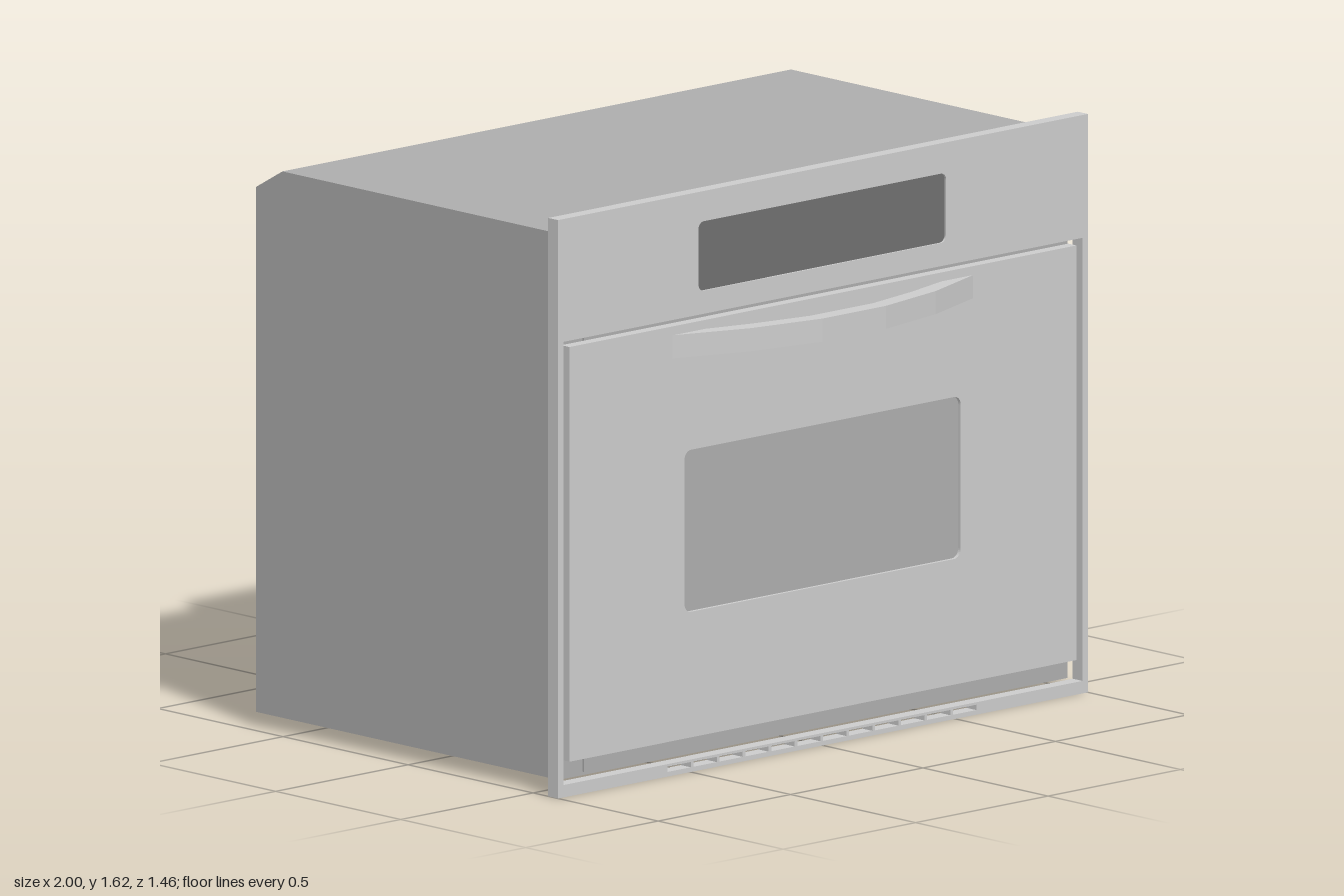
import * as THREE from 'three';

const mat = (color) => new THREE.MeshStandardMaterial({ color });

// Rounded or plain rectangle, added to a Shape or Path
function rect(p, x0, y0, x1, y1, r = 0) {
  if (!r) {
    p.moveTo(x0, y0).lineTo(x1, y0).lineTo(x1, y1).lineTo(x0, y1).closePath();
    return p;
  }
  p.moveTo(x0 + r, y0).lineTo(x1 - r, y0);
  p.absarc(x1 - r, y0 + r, r, -Math.PI / 2, 0);
  p.lineTo(x1, y1 - r);
  p.absarc(x1 - r, y1 - r, r, 0, Math.PI / 2);
  p.lineTo(x0 + r, y1);
  p.absarc(x0 + r, y1 - r, r, Math.PI / 2, Math.PI);
  p.lineTo(x0, y0 + r);
  p.absarc(x0 + r, y0 + r, r, Math.PI, Math.PI * 1.5);
  return p;
}

function extrude(shape, depth) {
  return new THREE.ExtrudeGeometry(shape, { depth, bevelEnabled: false, curveSegments: 4 });
}

export function createModel() {
  const group = new THREE.Group();
  const steel = mat(0xcccccc), casing = mat(0xadadad), dark = mat(0x6f6f6f);

  const add = (name, geometry, material) => {
    const mesh = new THREE.Mesh(geometry, material);
    mesh.name = name;
    group.add(mesh);
    return mesh;
  };
  const box = (name, x0, x1, y0, y1, z0, z1, material) => {
    const mesh = add(name, new THREE.BoxGeometry(x1 - x0, y1 - y0, z1 - z0), material);
    mesh.position.set((x0 + x1) / 2, (y0 + y1) / 2, (z0 + z1) / 2);
  };
  const back = 0.56, front = 0.6;

  // Casing: side profile with a chamfered top rear edge, extruded across x
  const profile = new THREE.Shape([
    [-back, 0.04], [0.65, 0.04], [0.65, 1.515], [0.545, 1.575], [-back, 1.575],
  ].map(([x, y]) => new THREE.Vector2(x, y)));
  const casingGeometry = extrude(profile, 1.92);
  casingGeometry.translate(0, 0, -0.96).rotateY(Math.PI / 2);
  add('casing', casingGeometry, casing);
  box('rearDuct', -0.37, 0.37, 0.04, 1.515, -0.73, -0.65, casing);
  box('doorSeal', -0.87, 0.87, 0.05, 1.272, back - 0.01, back + 0.006, casing);

  // Front frame with door opening, display cut-out and a row of vent slots
  const frame = rect(new THREE.Shape(), -1, 0, 1, 1.625);
  frame.holes.push(rect(new THREE.Path(), -0.98, 0.035, 0.98, 1.28));
  frame.holes.push(rect(new THREE.Path(), -0.47, 1.345, 0.465, 1.54, 0.02));
  for (let i = 0; i < 12; i++) {
    const x = -0.587 + i * 0.098;
    frame.holes.push(rect(new THREE.Path(), x, 0.013, x + 0.088, 0.028));
  }
  add('frontFrame', extrude(frame, front - back), steel).position.z = back;
  box('display', -0.48, 0.475, 1.335, 1.55, back + 0.002, front - 0.006, dark);

  // Door with a recessed window
  const door = rect(new THREE.Shape(), -0.957, 0.097, 0.957, 1.262);
  door.holes.push(rect(new THREE.Path(), -0.523, 0.45, 0.52, 0.905, 0.025));
  add('door', extrude(door, front - back - 0.007), steel).position.z = back + 0.007;
  box('window', -0.54, 0.54, 0.44, 0.92, back + 0.008, front - 0.01, casing);

  // Bowed handle, drawn in plan and extruded downwards
  const half = [[0.12, 0.725], [0.35, 0.68], [0.57, 0.599]];
  const inner = [[0.45, 0.599], [0.3, 0.64], [0.12, 0.675]];
  const right = [...half, ...inner];
  const left = [...right].reverse().map(([x, z]) => [-x, z]);
  const plan = new THREE.Shape([...right, ...left].map(([x, z]) => new THREE.Vector2(x, z)));
  const handle = extrude(plan, 0.065);
  handle.rotateX(Math.PI / 2);
  add('handle', handle, steel).position.y = 1.237;

  return group;
}
